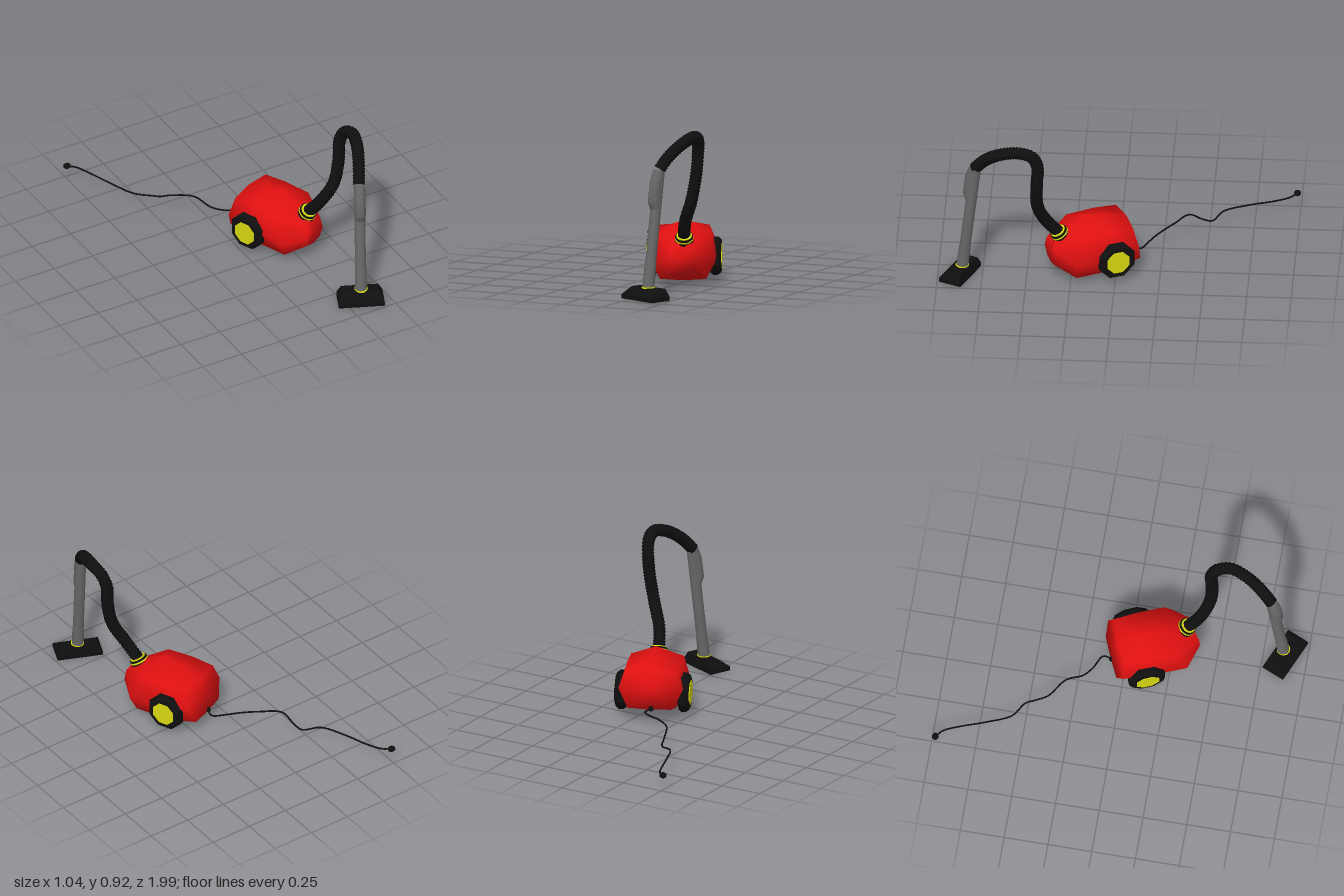
import * as THREE from 'three';
import { toCreasedNormals } from 'three/addons/utils/BufferGeometryUtils.js';

const mat = (name, color) => {
  const m = new THREE.MeshStandardMaterial({ color });
  m.name = name;
  return m;
};

// Skin over a stack of rings, each clockwise seen from the far end, with caps
function loft(rings) {
  const n = rings[0].length, pos = [], idx = [];
  rings.forEach(r => r.forEach(p => pos.push(...p)));
  for (let i = 0; i < rings.length - 1; i++) {
    for (let j = 0; j < n; j++) {
      const a = i * n + j, b = i * n + (j + 1) % n, c = a + n, d = b + n;
      idx.push(a, c, b, b, c, d);
    }
  }
  [0, rings.length - 1].forEach((i, end) => {
    const mid = [0, 1, 2].map(k => rings[i].reduce((s, p) => s + p[k], 0) / n);
    const m = pos.length / 3;
    pos.push(...mid);
    for (let j = 0; j < n; j++) {
      const a = i * n + j, b = i * n + (j + 1) % n;
      idx.push(m, ...(end ? [b, a] : [a, b]));
    }
  });
  const g = new THREE.BufferGeometry();
  g.setAttribute('position', new THREE.Float32BufferAttribute(pos, 3));
  g.setIndex(idx);
  g.computeVertexNormals();
  return g;
}

const curveOf = pts => new THREE.CatmullRomCurve3(pts.map(p => new THREE.Vector3(...p)));

export function createModel() {
  const red = mat('red shell', 0xe01010);
  const black = mat('black rubber', 0x0f0f0f);
  const grey = mat('grey plastic', 0x686868);
  const yellow = mat('yellow trim', 0xd8d812);

  const model = new THREE.Group();
  model.name = 'vacuumCleaner';
  const add = (parent, name, geo, material, x = 0, y = 0, z = 0) => {
    const m = new THREE.Mesh(geo, material);
    m.name = name;
    m.position.set(x, y, z);
    parent.add(m);
    return m;
  };

  // Main unit, turned towards its left
  const unit = new THREE.Group();
  unit.name = 'mainUnit';
  unit.position.set(0.2, 0, 0.064);
  unit.rotation.y = 0.41;
  model.add(unit);

  // Faceted shell: half sections from top to bottom, mirrored, back to front
  const halves = [
    [[0, 0.3, -0.125], [0.14, 0.293, -0.115], [0.18, 0.19, -0.135], [0.125, 0.085, -0.163], [0, 0.08, -0.165]],
    [[0, 0.335, 0], [0.15, 0.295, 0.02], [0.188, 0.17, 0.02], [0.13, 0.04, 0], [0, 0.03, 0]],
    [[0, 0.36, 0.113], [0.15, 0.285, 0.18], [0.18, 0.13, 0.235], [0.13, 0.033, 0.22], [0, 0.027, 0.23]],
    [[0, 0.27, 0.3], [0.062, 0.215, 0.332], [0.075, 0.16, 0.335], [0.065, 0.1, 0.325], [0, 0.085, 0.325]],
  ];
  const shell = halves.map(h => [
    ...h, ...h.slice(1, -1).reverse().map(([x, y, z]) => [-x, y, z]),
  ]);
  add(unit, 'body', loft(shell), red);

  // Octagonal wheels with hub plates
  const profile = [[0, -0.03], [0.1, -0.03], [0.112, -0.015], [0.112, 0.01], [0.095, 0.03], [0, 0.03]]
    .map(p => new THREE.Vector2(...p));
  const tyreGeo = toCreasedNormals(
    new THREE.LatheGeometry(profile, 8).rotateY(Math.PI / 8).rotateZ(-Math.PI / 2), 0.5);
  const hubGeo = toCreasedNormals(
    new THREE.CylinderGeometry(0.07, 0.07, 0.008, 8).rotateY(Math.PI / 8).rotateZ(-Math.PI / 2), 0.5);
  for (const side of [1, -1]) {
    const wheel = new THREE.Group();
    wheel.name = side > 0 ? 'leftWheel' : 'rightWheel';
    wheel.position.set(side * 0.18, 0.134, 0);
    wheel.rotation.y = side > 0 ? 0 : Math.PI;
    add(wheel, 'tyre', tyreGeo, black);
    add(wheel, 'hub', hubGeo, yellow, 0.03);
    unit.add(wheel);
  }

  // Ribbed hose: alternate rings of a tube are widened
  const hosePath = curveOf([
    [0.312, 0.26, 0.305], [0.36, 0.38, 0.39], [0.42, 0.51, 0.435], [0.452, 0.67, 0.437],
    [0.46, 0.79, 0.433], [0.475, 0.86, 0.465], [0.485, 0.888, 0.54], [0.458, 0.86, 0.64],
    [0.415, 0.795, 0.73], [0.383, 0.725, 0.787],
  ]);
  const rings = 116, sides = 12;
  const hoseGeo = new THREE.TubeGeometry(hosePath, rings, 0.031, sides);
  const p = hoseGeo.attributes.position, v = new THREE.Vector3();
  for (let i = 0; i <= rings; i += 2) {
    const c = hosePath.getPointAt(i / rings);
    for (let j = 0; j <= sides; j++) {
      const k = i * (sides + 1) + j;
      v.fromBufferAttribute(p, k).sub(c).multiplyScalar(1.17).add(c);
      p.setXYZ(k, v.x, v.y, v.z);
    }
  }
  hoseGeo.computeVertexNormals();
  add(model, 'hose', hoseGeo, black);

  // Collar where the hose enters the body
  const collar = new THREE.Group();
  collar.name = 'hoseCollar';
  collar.position.set(0.318, 0.272, 0.315);
  collar.quaternion.setFromUnitVectors(
    new THREE.Vector3(0, 1, 0), new THREE.Vector3(0.2, 0.85, 0.48).normalize());
  add(collar, 'collarBase', new THREE.CylinderGeometry(0.05, 0.053, 0.036, 16), black);
  add(collar, 'collarBand', new THREE.CylinderGeometry(0.052, 0.053, 0.009, 16), yellow, 0, 0.003);
  add(collar, 'collarRing', new THREE.CylinderGeometry(0.044, 0.044, 0.008, 16), yellow, 0, 0.02);
  model.add(collar);

  // Wand with sleeve and grip, leaning back from the floor head
  const wand = new THREE.Group();
  wand.name = 'wand';
  wand.position.set(0.353, 0.062, 0.862);
  wand.rotation.set(-0.125, -0.41, 0, 'YXZ');
  model.add(wand);
  add(wand, 'tube', new THREE.CylinderGeometry(0.031, 0.031, 0.67, 16), grey, 0, 0.335);
  add(wand, 'lowerSleeve', new THREE.CylinderGeometry(0.033, 0.034, 0.14, 16), grey, 0, 0.07);
  // Grip sections: height, forward shift, half width, half depth
  const grip = [[0.445, 0, 0.03, 0.03], [0.485, 0.014, 0.033, 0.041],
    [0.6, 0.014, 0.033, 0.041], [0.67, 0.003, 0.032, 0.034]]
    .map(([y, s, w, d]) => Array.from({ length: 14 }, (_, i) => {
      const a = i / 14 * Math.PI * 2;
      return [Math.cos(a) * w, y, s + Math.sin(a) * d];
    }));
  add(wand, 'grip', toCreasedNormals(loft(grip), 0.6), grey);

  // Floor head: wide wedge with its flat top set to the rear
  const head = new THREE.Group();
  head.name = 'floorHead';
  head.position.set(0.343, 0, 0.875);
  head.rotation.y = -0.41;
  model.add(head);
  const rect = (y, x, z0, z1) => [[x, y, z0], [x, y, z1], [-x, y, z1], [-x, y, z0]];
  const headGeo = loft([
    rect(0, 0.13, -0.066, 0.068), rect(0.024, 0.13, -0.066, 0.068), rect(0.067, 0.105, -0.056, 0.012),
  ]);
  add(head, 'headShell', toCreasedNormals(headGeo, 0.2), black);
  add(model, 'headRing', new THREE.CylinderGeometry(0.038, 0.038, 0.009, 16), yellow, 0.354, 0.068, 0.862);

  // Power cord with socket and plug
  const cordPath = curveOf([
    [0.127, 0.085, -0.08], [0.137, 0.078, -0.13], [0.058, 0.078, -0.175], [0, 0.092, -0.22],
    [-0.058, 0.13, -0.31], [-0.165, 0.127, -0.39], [-0.19, 0.085, -0.46], [-0.21, 0.063, -0.515],
    [-0.3, 0.075, -0.575], [-0.366, 0.08, -0.716], [-0.42, 0.08, -0.865], [-0.46, 0.084, -0.945],
    [-0.5, 0.088, -0.977],
  ]);
  add(model, 'cord', new THREE.TubeGeometry(cordPath, 100, 0.005, 8), black);
  add(model, 'cordSocket', new THREE.SphereGeometry(0.016, 10, 8), black, 0.127, 0.085, -0.08);
  const plug = add(model, 'plug', new THREE.SphereGeometry(0.02, 8, 6), black, -0.5, 0.087, -0.979);
  plug.scale.set(1.15, 0.85, 1);

  return model;
}
